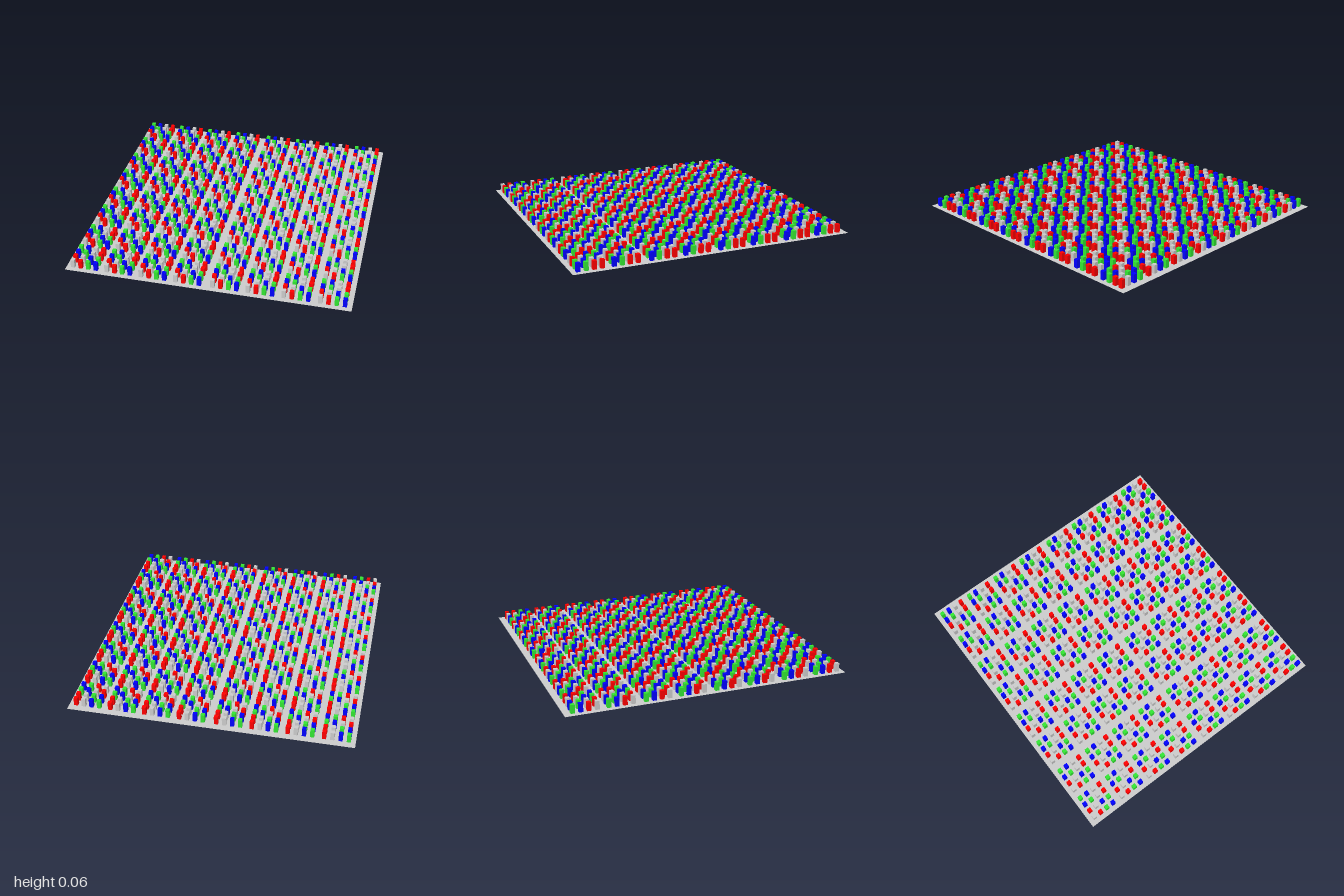
import * as THREE from 'three';
import { mergeGeometries } from 'three/addons/utils/BufferGeometryUtils.js';

const COLORS = { red: 0xff0000, green: 0x33e633, blue: 0x0000ff, grey: 0xcccccc };

// Colour layout of one 4 x 4 block, rows from back to front
const BLOCK = [
  ['green', 'blue', 'grey', 'red'],
  ['blue', 'green', 'grey', 'red'],
  ['red', 'grey', 'blue', 'green'],
  ['grey', 'red', 'green', 'blue'],
];

// Starting positions of the eight blocks along each axis
const BLOCK_X = [-0.932, -0.691, -0.45, -0.209, 0.045, 0.286, 0.526, 0.767];
const BLOCK_Z = [-0.94, -0.699, -0.446, -0.203, 0.051, 0.293, 0.549, 0.79];
const STEP = 0.0543;
const WIDTH = 0.0272;
const HEIGHT = 0.06;

export function createModel() {
  const model = new THREE.Group();

  // Flat base sheet
  const base = new THREE.Mesh(
    new THREE.PlaneGeometry(1.956, 2).rotateX(-Math.PI / 2),
    new THREE.MeshStandardMaterial({ color: 0xcccccc, side: THREE.DoubleSide })
  );
  base.name = 'base';
  model.add(base);

  // Pillars, gathered by colour
  const pillars = { red: [], green: [], blue: [], grey: [] };
  for (const bx of BLOCK_X) {
    for (const bz of BLOCK_Z) {
      BLOCK.forEach((row, r) => row.forEach((color, c) => {
        const pillar = new THREE.BoxGeometry(WIDTH, HEIGHT, WIDTH);
        pillar.translate(bx + c * STEP, HEIGHT / 2 + 0.0005, bz + r * STEP);
        pillars[color].push(pillar);
      }));
    }
  }
  for (const [color, parts] of Object.entries(pillars)) {
    const mesh = new THREE.Mesh(
      mergeGeometries(parts),
      new THREE.MeshStandardMaterial({ color: COLORS[color] })
    );
    mesh.name = color + 'Pillars';
    model.add(mesh);
  }
  return model;
}
